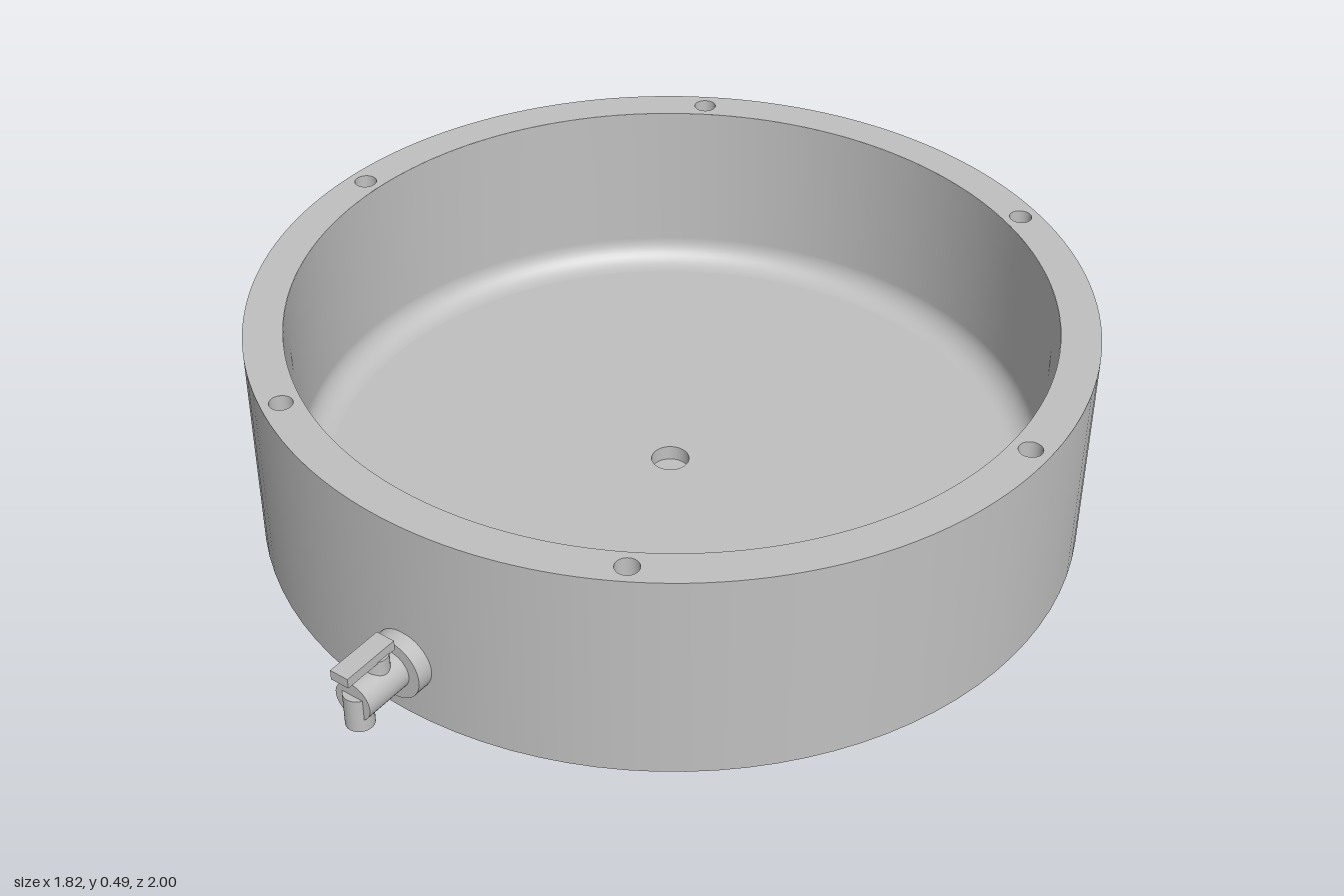
import * as THREE from 'three';

const SEG = 96;
const grey = new THREE.MeshStandardMaterial({ color: 0xc0c0c0 });
grey.name = 'plain grey';

const CENTRE_Z = -0.09, R = 0.91, R_IN = 0.825, H = 0.485, FLOOR = 0.07, FILLET = 0.06;

function add(parent, name, geometry, x = 0, y = 0, z = 0) {
  const mesh = new THREE.Mesh(geometry, grey);
  mesh.name = name;
  mesh.position.set(x, y, z);
  parent.add(mesh);
  return mesh;
}

const lathe = (points) =>
  new THREE.LatheGeometry(points.map(([r, y]) => new THREE.Vector2(r, y)), SEG);

// Flat disc in the shape plane, with round holes given as [x, y, radius]
function disc(radius, holes) {
  const shape = new THREE.Shape().absarc(0, 0, radius, 0, Math.PI * 2);
  for (const [x, y, r] of holes) shape.holes.push(new THREE.Path().absarc(x, y, r, 0, Math.PI * 2, true));
  return new THREE.ShapeGeometry(shape, SEG);
}

// Blind hole opening upward at its origin
function pit(name, radius, depth) {
  const group = new THREE.Group();
  group.name = name;
  add(group, name + 'Wall', lathe([[radius, 0], [radius, -depth]]));
  add(group, name + 'End', new THREE.CircleGeometry(radius, SEG).rotateX(-Math.PI / 2), 0, -depth, 0);
  return group;
}

const boltCircle = (radius, holeRadius) => Array.from({ length: 6 }, (_, i) => {
  const a = i * Math.PI / 3;
  return [radius * Math.cos(a), radius * Math.sin(a), holeRadius];
});

function createTub() {
  const tub = new THREE.Group();
  tub.name = 'tub';
  tub.position.z = CENTRE_Z;

  const rimHoles = boltCircle(0.867, 0.025);
  const footHoles = boltCircle(0.795, 0.009);
  const drainRadius = 0.042;

  add(tub, 'outerWall', lathe([[R, 0], [R, H]]));
  add(tub, 'rim', disc(R, [[0, 0, R_IN], ...rimHoles]).rotateX(-Math.PI / 2), 0, H, 0);
  add(tub, 'underside', disc(R, footHoles).rotateX(Math.PI / 2));

  // Inner wall running into a rounded floor edge
  const inner = [[R_IN, H]];
  for (let i = 0; i <= 10; i++) {
    const a = i / 10 * Math.PI / 2;
    inner.push([R_IN - FILLET + FILLET * Math.cos(a), FLOOR + FILLET - FILLET * Math.sin(a)]);
  }
  add(tub, 'innerWall', lathe(inner));
  add(tub, 'floor', disc(R_IN - FILLET, [[0, 0, drainRadius]]).rotateX(-Math.PI / 2), 0, FLOOR, 0);

  // Blind holes in floor, rim and underside
  const drain = pit('drainHole', drainRadius, 0.035);
  drain.position.y = FLOOR;
  tub.add(drain);
  for (const [x, z, r] of rimHoles) {
    const hole = pit('rimHole', r, 0.15);
    hole.position.set(x, H, z);
    tub.add(hole);
  }
  for (const [x, z, r] of footHoles) {
    const hole = pit('undersideHole', r, 0.04);
    hole.position.set(x, 0, z);
    hole.rotation.x = Math.PI;
    tub.add(hole);
  }
  return tub;
}

function createTap() {
  const tap = new THREE.Group();
  tap.name = 'tap';
  const y = 0.14;
  const cylinder = (r, h) => new THREE.CylinderGeometry(r, r, h, 40);

  // Flange and barrel lie along z
  add(tap, 'flange', cylinder(0.07, 0.045).rotateX(Math.PI / 2), 0, y, 0.8325);
  add(tap, 'barrel', cylinder(0.044, 0.12).rotateX(Math.PI / 2), 0, y, 0.91);

  // Spout with an open lower end
  const spoutZ = 0.955, bore = 0.02;
  add(tap, 'spout', lathe([[0.03, 0.075], [0.03, 0.155]]), 0, 0, spoutZ);
  add(tap, 'spoutTop', new THREE.CircleGeometry(0.03, SEG).rotateX(-Math.PI / 2), 0, 0.155, spoutZ);
  add(tap, 'spoutLip', disc(0.03, [[0, 0, bore]]).rotateX(Math.PI / 2), 0, 0.075, spoutZ);
  const opening = pit('spoutOpening', bore, 0.05);
  opening.position.set(0, 0.075, spoutZ);
  opening.rotation.x = Math.PI;
  tap.add(opening);

  // Valve stem and lever
  add(tap, 'stem', cylinder(0.028, 0.05), 0, 0.187, 0.898);
  add(tap, 'lever', new THREE.BoxGeometry(0.044, 0.023, 0.135), 0, 0.2205, 0.9325);
  return tap;
}

export function createModel() {
  const model = new THREE.Group();
  model.name = 'roundTubWithTap';
  model.add(createTub(), createTap());
  return model;
}
